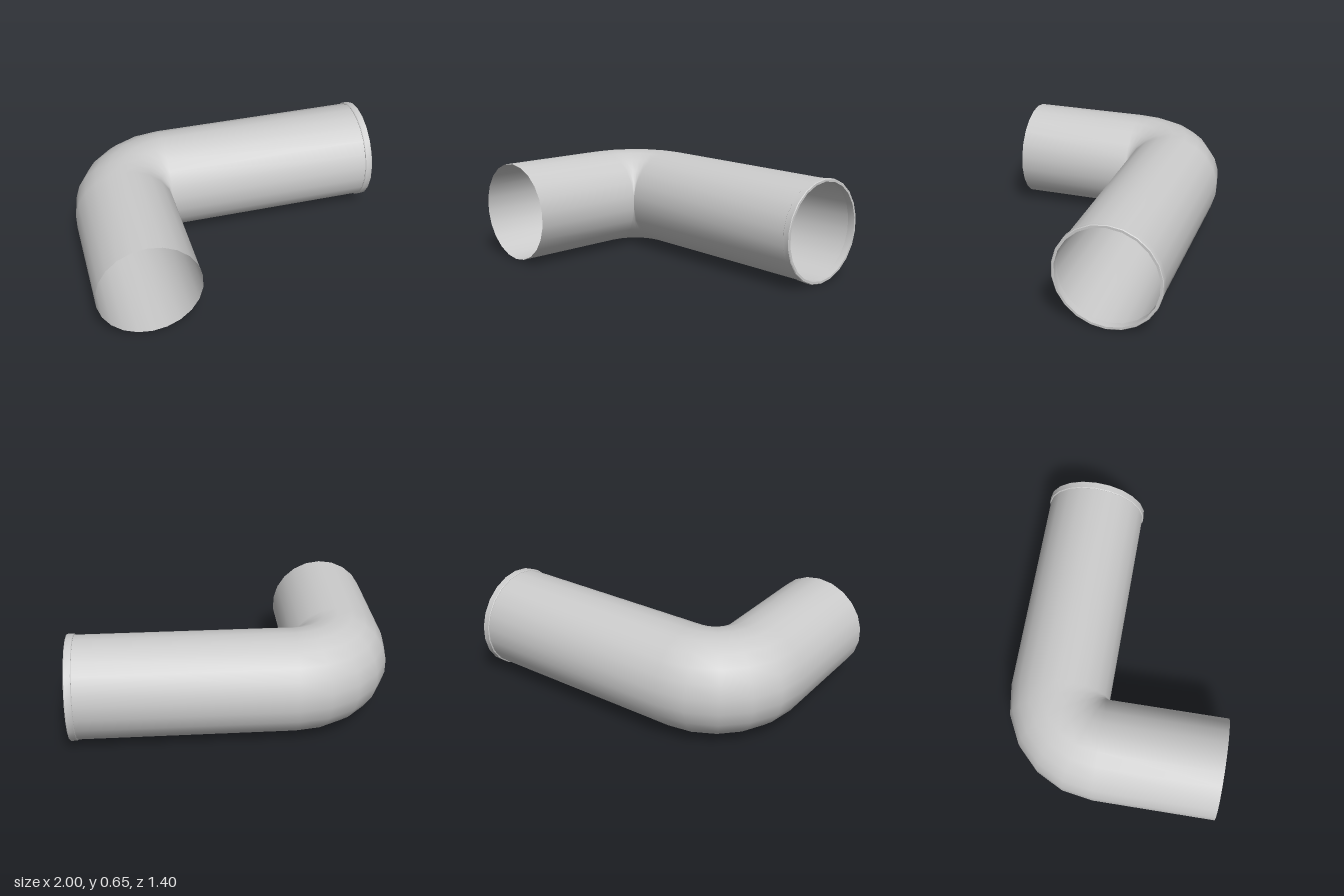
import * as THREE from 'three';
import { toCreasedNormals } from 'three/addons/utils/BufferGeometryUtils.js';

const SIDES = 22;
const R = 0.318; // pipe radius
const BEND = R * Math.cos(Math.PI / SIDES); // bend radius, so the inner corner closes to an edge
const Y = 0.325; // height of the pipe axis
const PIVOT = new THREE.Vector3(-0.371, Y, -0.062);
const BEND_STEPS = 5;

// Tube through a straight leg, a quarter bend and a second straight leg
function pipeGeometry() {
  const rings = [{ angle: 0, back: 0.76 }];
  for (let i = 0; i <= BEND_STEPS; i++) rings.push({ angle: (i / BEND_STEPS) * Math.PI / 2, back: 0 });
  rings.push({ angle: Math.PI / 2, back: -1.362 });

  const positions = [], index = [];
  for (const { angle, back } of rings) {
    const out = new THREE.Vector3(-Math.cos(angle), 0, -Math.sin(angle));
    const behind = new THREE.Vector3(-Math.sin(angle), 0, Math.cos(angle));
    for (let j = 0; j < SIDES; j++) {
      const a = (j / SIDES) * Math.PI * 2;
      const p = PIVOT.clone()
        .addScaledVector(out, BEND + R * Math.sin(a))
        .addScaledVector(behind, back);
      p.y += R * Math.cos(a);
      positions.push(p.x, p.y, p.z);
    }
  }
  for (let i = 0; i < rings.length - 1; i++) {
    for (let j = 0; j < SIDES; j++) {
      const k = (j + 1) % SIDES;
      const a = i * SIDES + j, b = i * SIDES + k, c = a + SIDES, d = b + SIDES;
      index.push(a, c, b, b, c, d);
    }
  }
  const geometry = new THREE.BufferGeometry();
  geometry.setAttribute('position', new THREE.Float32BufferAttribute(positions, 3));
  geometry.setIndex(index);
  geometry.computeVertexNormals();
  return geometry;
}

// Raised ring with slightly bevelled outer edges
function collarGeometry() {
  const inner = 0.307, outer = 0.325, width = 0.046, bevel = 0.004;
  const profile = [
    [inner, 0], [outer - bevel, 0], [outer, bevel], [outer, width - bevel],
    [outer - bevel, width], [inner, width], [inner, 0],
  ].map(([r, h]) => new THREE.Vector2(r, h));
  const lathe = new THREE.LatheGeometry(profile, SIDES, Math.PI / 2);
  lathe.rotateZ(-Math.PI / 2);
  lathe.translate(1 - width, Y, PIVOT.z - BEND);
  return toCreasedNormals(lathe, 0.5);
}

export function createModel() {
  const group = new THREE.Group();
  group.name = 'elbowPipe';
  const material = new THREE.MeshStandardMaterial({ color: 0xcccccc, side: THREE.DoubleSide });

  const pipe = new THREE.Mesh(pipeGeometry(), material);
  pipe.name = 'bentPipe';
  const collar = new THREE.Mesh(collarGeometry(), material);
  collar.name = 'endCollar';

  group.add(pipe, collar);
  return group;
}
